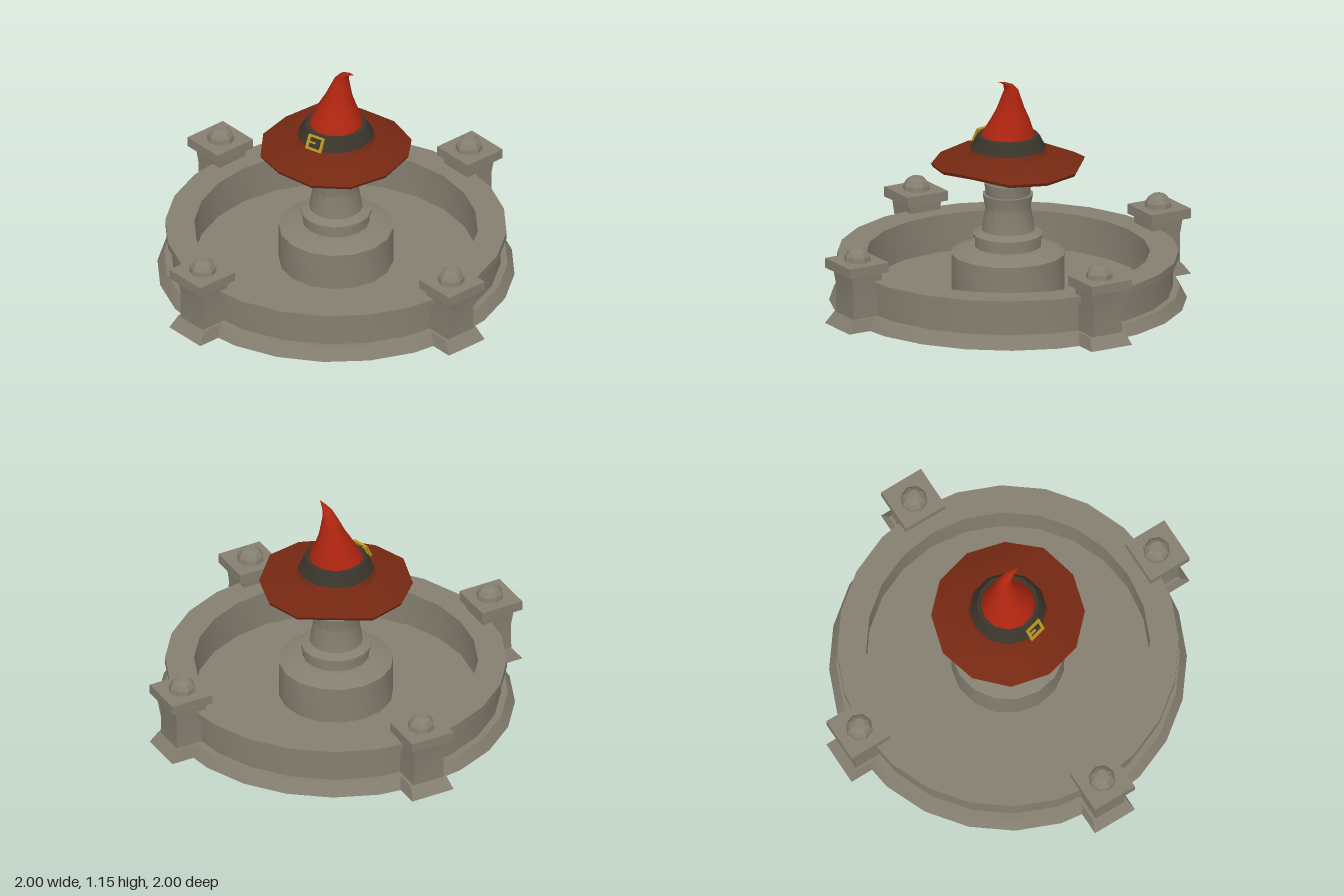
import * as THREE from 'three';
import { toCreasedNormals } from 'three/addons/utils/BufferGeometryUtils.js';

const mat = (name, color) => {
  const m = new THREE.MeshStandardMaterial({ color });
  m.name = name;
  return m;
};

// Skin between rings of [x, y, z] points, listed bottom to top
function loft(rings, crease = 0.6) {
  const n = rings[0].length, index = [];
  for (let i = 0; i < rings.length - 1; i++) {
    for (let j = 0; j < n; j++) {
      const k = (j + 1) % n;
      const a = i * n + j, b = i * n + k, c = (i + 1) * n + k, d = (i + 1) * n + j;
      index.push(a, b, c, a, c, d);
    }
  }
  const g = new THREE.BufferGeometry();
  g.setAttribute('position', new THREE.Float32BufferAttribute(rings.flat(2), 3));
  g.setIndex(index);
  return toCreasedNormals(g, crease);
}

// Round ring; y may be a number or a function of the corner number
function ring(r, y, cx = 0, cz = 0, n = 12) {
  return Array.from({ length: n }, (_, j) => {
    const t = (j / n) * Math.PI * 2;
    return [cx + r * Math.sin(t), typeof y === 'function' ? y(j) : y, cz + r * Math.cos(t)];
  });
}

// Rectangular ring for the posts
const rect = (y, hw, inner, outer) => [[-hw, y, outer], [hw, y, outer], [hw, y, inner], [-hw, y, inner]];

const lathe = (pts, sides, crease = 0.5) =>
  toCreasedNormals(new THREE.LatheGeometry(pts.map(([r, y]) => new THREE.Vector2(r, y)), sides), crease);

export function createModel() {
  const model = new THREE.Group();
  model.name = 'fountain';
  const stone = mat('stone', 0x857f70);
  const red = mat('hat red', 0xae2510);
  const darkRed = mat('brim dark red', 0x752812);
  const leather = mat('band dark brown', 0x3a352b);
  const gold = mat('buckle gold', 0xb8961f);

  const add = (name, geo, material, parent = model) => {
    const m = new THREE.Mesh(geo, material);
    m.name = name;
    parent.add(m);
    return m;
  };

  // Basin with sloped foot, wall, rim and floor
  add('basin', lathe([
    [0, 0], [0.895, 0], [0.86, 0.06], [0.825, 0.06], [0.825, 0.21], [0.855, 0.21],
    [0.855, 0.245], [0.71, 0.245], [0.71, 0.05], [0, 0.05],
  ], 24), stone);

  // Central pedestal and stepped column
  add('pedestal', lathe([
    [0.287, 0.05], [0.287, 0.245], [0.2, 0.28], [0.168, 0.28], [0.168, 0.33], [0.177, 0.33],
    [0.177, 0.345], [0.135, 0.365], [0, 0.365],
  ], 16), stone);
  add('column', lathe([
    [0.135, 0.36], [0.115, 0.48], [0.128, 0.55], [0.112, 0.55], [0.12, 0.61], [0.108, 0.61],
    [0.1, 0.66], [0.11, 0.66], [0.133, 0.70], [0.133, 0.715], [0, 0.73],
  ], 16), stone);

  // Four posts around the basin
  for (let i = 0; i < 4; i++) {
    const post = new THREE.Group();
    post.name = 'post';
    post.rotation.y = (i * Math.PI) / 2;
    model.add(post);
    add('postShaft', loft([
      rect(0, 0, 0.88, 0.88), rect(0, 0.118, 0.77, 1.0), rect(0.06, 0.1, 0.79, 0.955),
      rect(0.06, 0.085, 0.79, 0.955), rect(0.2, 0.083, 0.795, 0.955), rect(0.295, 0.09, 0.79, 0.97),
    ], 0.3), stone, post);
    add('postCap', new THREE.BoxGeometry(0.235, 0.05, 0.23), stone, post).position.set(0, 0.315, 0.885);
    add('postFinial', lathe([[0.07, 0.335], [0.066, 0.365], [0.05, 0.39], [0.03, 0.405], [0, 0.405]], 8, 0.3),
      stone, post).position.z = 0.88;
  }

  // Pointed hat
  const hat = new THREE.Group();
  hat.name = 'hat';
  model.add(hat);
  const edge = [0.715, 0.7, 0.7, 0.715, 0.73, 0.7, 0.695, 0.7, 0.73, 0.697, 0.7, 0.695];
  add('brim', loft([
    ring(0.11, 0.715), ring(0.27, 0.718), ring(0.378, (j) => edge[j] - 0.008), ring(0.385, (j) => edge[j] + 0.008),
    ring(0.27, 0.75), ring(0.2, 0.76), ring(0.175, 0.795),
  ]), darkRed, hat);
  add('crown', loft([
    ring(0.17, 0.78), ring(0.135, 0.86), ring(0.117, 0.9, 0, -0.008), ring(0.094, 0.95, -0.005, -0.013),
    ring(0.07, 1.0, -0.003, -0.02), ring(0.053, 1.05, 0, -0.027), ring(0.036, 1.1, 0.003, -0.035),
    ring(0.025, 1.13, 0.02, -0.038), ring(0.013, 1.146, 0.05, -0.041), ring(0.001, 1.155, 0.085, -0.043),
  ], 1.2), red, hat);
  add('band', loft([
    ring(0.165, 0.79), ring(0.192, 0.79), ring(0.158, 0.855), ring(0.12, 0.858),
  ]), leather, hat);

  // Buckle: square frame with a prong, lying on the sloped band
  const s = new THREE.Shape([[-0.046, -0.038], [0.046, -0.038], [0.046, 0.038], [-0.046, 0.038]]
    .map(([x, y]) => new THREE.Vector2(x, y)));
  s.holes.push(new THREE.Path([[-0.034, -0.027], [-0.034, 0.027], [0.034, 0.027], [0.034, -0.027]]
    .map(([x, y]) => new THREE.Vector2(x, y))));
  const buckle = new THREE.Group();
  buckle.name = 'buckle';
  buckle.rotation.set(-0.48, 0.26, 0, 'YXZ');
  buckle.position.set(0.046, 0.823, 0.174);
  hat.add(buckle);
  add('buckleFrame', new THREE.ExtrudeGeometry(s, { depth: 0.012, bevelEnabled: false }), gold, buckle);
  add('bucklePin', new THREE.BoxGeometry(0.04, 0.008, 0.008), gold, buckle).position.set(-0.018, 0, 0.006);

  return model;
}
